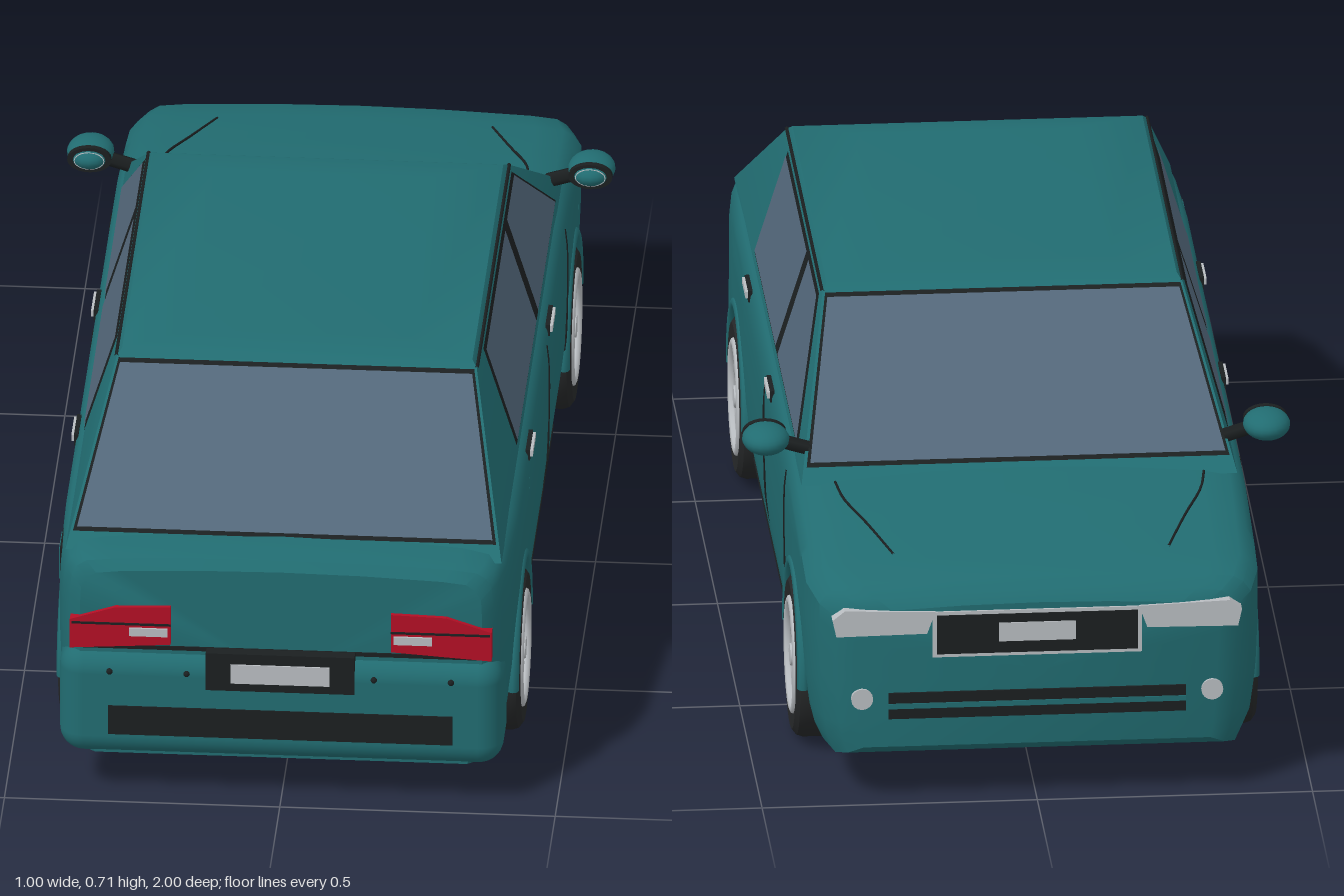
import * as THREE from 'three';
import { toCreasedNormals } from 'three/addons/utils/BufferGeometryUtils.js';
import { RoundedBoxGeometry } from 'three/addons/geometries/RoundedBoxGeometry.js';

const material = (name, color) => {
  const m = new THREE.MeshStandardMaterial({ color });
  m.name = name;
  return m;
};
const paint = material('teal paint', 0x216c71);
const glass = material('window glass', 0x53677a);
const black = material('black trim', 0x1b1f20);
const rubber = material('tyre rubber', 0x262829);
const red = material('tail lamp red', 0xb30f25);
const silver = material('silver', 0xb9bdc1);

const V = (x, y, z) => new THREE.Vector3(x, y, z);
const lerp = THREE.MathUtils.lerp;
const AXLES = [-0.63, 0.63], ARCH = 0.165, AXLE_Y = 0.15, SILL = 0.085;

// Piecewise linear lookup in [position, value] pairs
function along(table, p) {
  for (let i = 1; i < table.length; i++) {
    const [a, va] = table[i - 1], [b, vb] = table[i];
    if (p <= b) return lerp(va, vb, Math.max(0, (p - a) / (b - a)));
  }
  return table[table.length - 1][1];
}
const WIDTH = [[-0.995, 0.33], [-0.98, 0.365], [-0.95, 0.392], [-0.88, 0.41], [-0.6, 0.415],
  [0.7, 0.415], [0.88, 0.408], [0.93, 0.398], [0.955, 0.385], [0.97, 0.365]];
const TOP = [[-0.995, 0.375], [-0.98, 0.395], [-0.95, 0.41], [-0.85, 0.43], [-0.7, 0.455],
  [-0.55, 0.475], [-0.4, 0.482], [0.9, 0.482], [0.955, 0.472], [0.97, 0.455]];
const TUCK = [[0.08, 0.92], [0.12, 0.965], [0.2, 0.99], [0.3, 1], [0.4, 1], [0.46, 0.985]];
const sideX = (y, z) => along(WIDTH, z) * along(TUCK, y);

export function createModel() {
  const car = new THREE.Group();
  car.name = 'car';
  const add = (name, geometry, mat, x = 0, y = 0, z = 0, parent = car) => {
    const mesh = new THREE.Mesh(geometry, mat);
    mesh.name = name;
    mesh.position.set(x, y, z);
    parent.add(mesh);
    return mesh;
  };
  const box = (name, mat, w, h, d, x, y, z, parent) => add(name, new THREE.BoxGeometry(w, h, d), mat, x, y, z, parent);
  const line = (name, mat, points, r = 0.0025) => add(name,
    new THREE.TubeGeometry(new THREE.CatmullRomCurve3(points), 12, r, 5), mat);

  // Skin through rows of points; rows run towards +z
  function skin(rows, caps, keep = () => true) {
    const pos = rows.flat().flatMap(p => p.toArray()), index = [], n = rows[0].length;
    for (let i = 0; i < rows.length - 1; i++) {
      if (!keep((rows[i][0].z + rows[i + 1][0].z) / 2)) continue;
      for (let j = 0; j < n - 1; j++) {
        const a = i * n + j, d = a + n;
        index.push(a, a + 1, d, a + 1, d + 1, d);
      }
    }
    if (caps) [0, rows.length - 1].forEach((r, end) => {
      const c = pos.length / 3;
      pos.push(0, 0.25, rows[r][0].z);
      for (let j = 0; j < n; j++) {
        const a = r * n + j, b = r * n + (j + 1) % n;
        index.push(c, end ? a : b, end ? b : a);
      }
    });
    const g = new THREE.BufferGeometry();
    g.setAttribute('position', new THREE.Float32BufferAttribute(pos, 3));
    g.setIndex(index);
    return toCreasedNormals(g, 0.6);
  }

  // Body stations [z, lower edge], with the wheel arches cut into the lower edge
  const stations = [];
  const plain = (...zs) => zs.forEach(z => stations.push([z, SILL]));
  const arch = c => {
    stations.push([c - ARCH, SILL]);
    for (let k = 0; k <= 16; k++) {
      const a = Math.PI * (1 - k / 16);
      stations.push([c + ARCH * Math.cos(a), AXLE_Y + ARCH * Math.sin(a)]);
    }
    stations.push([c + ARCH, SILL]);
  };
  stations.push([-0.995, 0.11], [-0.98, 0.095]);
  plain(-0.95, -0.88);
  arch(AXLES[0]);
  plain(-0.4, -0.2, 0, 0.2, 0.4);
  arch(AXLES[1]);
  plain(0.88, 0.93, 0.955, 0.97);
  const rows = stations.map(([z, low]) => {
    const w = along(WIDTH, z), top = along(TOP, z), half = [];
    for (let k = 0; k <= 9; k++) {
      const y = lerp(low, top - 0.035, k / 9);
      half.push(V(sideX(y, z), y, z));
    }
    half.push(V(w * 0.965, top - 0.016, z), V(w * 0.92, top - 0.005, z),
      V(w * 0.8, top, z), V(w * 0.4, top + 0.006, z));
    return [...half, V(0, top + 0.008, z), ...half.map(p => V(-p.x, p.y, z)).reverse()];
  });
  add('body shell', skin(rows, true), paint);
  const under = rows.map(r => [r[r.length - 1], r[0]]);
  const isWell = z => Math.abs(z) > 0.44 && Math.abs(z) < 0.9;
  add('floor', skin(under, false, z => !isWell(z)), paint);
  add('wheel wells', skin(under, false, isWell), black);

  // Cabin from stacked rectangles: half width, height, front z, rear z
  const P = (s, z, t) => V(s * lerp(0.392, 0.327, t), lerp(0.48, 0.69, t), z);
  const frontZ = t => lerp(-0.58, -0.22, t), rearZ = t => lerp(0.89, 0.58, t);
  const levels = [[0.396, 0.465, -0.6, 0.91], [0.327, 0.69, -0.22, 0.58],
    [0.318, 0.7, -0.2, 0.565], [0.2, 0.707, -0.13, 0.5], [0, 0.709, 0.1, 0.2]];
  add('cabin and roof', skin(levels.map(([w, y, f, r]) =>
    [V(w, y, f), V(-w, y, f), V(-w, y, r), V(w, y, r), V(w, y, f)]), false), paint);

  // Flat panel lying just above the cabin, facing outwards
  function panel(name, mat, corners, lift) {
    const [a, b, c, d] = corners;
    const n = b.clone().sub(a).cross(c.clone().sub(a)).normalize();
    const mid = a.clone().add(c).multiplyScalar(0.5).sub(V(0, 0.5, 0.15));
    const flip = n.dot(mid) < 0;
    if (flip) n.negate();
    const quad = (flip ? [a, d, c, b] : [a, b, c, d]).map(p => p.clone().addScaledVector(n, lift));
    const g = new THREE.BufferGeometry().setFromPoints([0, 1, 2, 0, 2, 3].map(i => quad[i]));
    g.computeVertexNormals();
    add(name, g, mat);
  }
  const end = (edge, t0, t1, k) => [P(k, edge(t0), t0), P(-k, edge(t0), t0), P(-k, edge(t1), t1), P(k, edge(t1), t1)];
  for (const [name, edge] of [['windshield', frontZ], ['rear window', rearZ]]) {
    panel(name + ' seal', black, end(edge, 0.03, 0.99, 0.985), 0.003);
    panel(name, glass, end(edge, 0.05, 0.96, 0.97), 0.006);
  }
  for (const s of [-1, 1]) {
    const side = (z0, z1, z2, z3, t0, t1) => [P(s, z0, t0), P(s, z1, t0), P(s, z2, t1), P(s, z3, t1)];
    panel('side window frame', black, side(0.488, -0.475, -0.208, 0.488, 0.03, 0.96), 0.003);
    panel('rear door window', glass, side(0.48, 0.012, 0.012, 0.48, 0.06, 0.93), 0.006);
    panel('front door window', glass, side(-0.03, -0.455, -0.205, -0.03, 0.06, 0.93), 0.006);
    line('roof gutter', black, [P(s, -0.22, 1), P(s, 0.58, 1)], 0.004);

    // Seams, handles and hood creases
    const onSide = (y, z) => V(s * (sideX(y, z) + 0.0005), y, z);
    for (const z of [-0.455, 0]) line('door seam', black, [0.1, 0.2, 0.3, 0.4, 0.44].map(y => onSide(y, z)), 0.0018);
    line('sill seam', black, [-0.3, 0, 0.4].map(z => onSide(0.12, z)), 0.002);
    for (const z of [-0.08, 0.41]) {
      box('door handle recess', black, 0.008, 0.022, 0.08, s * 0.41, 0.448, z);
      box('door handle', silver, 0.012, 0.012, 0.074, s * 0.413, 0.45, z);
    }
    const onHood = (x, z) => V(s * x, along(TOP, z) + 0.003, z);
    line('hood crease', black, [onHood(0.25, -0.86), onHood(0.29, -0.75), onHood(0.325, -0.66), onHood(0.335, -0.6)]);
    const onScreen = (x, z) => V(s * x, 0.492 + (z + 0.56) * 0.585, z);
    line('wiper', black, [onScreen(0.17, -0.545), onScreen(0.05, -0.475)], 0.005);

    // Door mirror
    line('mirror arm', black, [V(s * 0.375, 0.505, -0.52), V(s * 0.44, 0.525, -0.52)], 0.014);
    const shell = add('mirror shell', new THREE.SphereGeometry(1, 20, 14), paint, s * 0.455, 0.53, -0.525);
    shell.scale.set(0.043, 0.027, 0.052);
    const disc = (name, mat, k, z) => add(name, new THREE.CylinderGeometry(1, 1, 1, 24).rotateX(Math.PI / 2),
      mat, s * 0.455, 0.53, z).scale.set(0.042 * k, 0.026 * k, 0.012);
    disc('mirror rim', black, 0.95, -0.494);
    disc('mirror glass', silver, 0.66, -0.49);

    // Lamps
    const lamp = (name, mat, pts, z, depth) => add(name, new THREE.ExtrudeGeometry(
      new THREE.Shape(pts.map(([x, y]) => new THREE.Vector2(s * x, y))), { depth, bevelEnabled: false }), mat, 0, 0, z);
    lamp('tail lamp', red, [[0.2, 0.388], [0.3, 0.385], [0.383, 0.358], [0.383, 0.3], [0.2, 0.312]], 0.925, 0.053);
    box('reverse lamp', silver, 0.07, 0.016, 0.006, s * 0.24, 0.337, 0.979);
    box('tail lamp divider', black, 0.18, 0.004, 0.004, s * 0.29, 0.352, 0.978);
    lamp('headlamp', silver, [[0.185, 0.372], [0.35, 0.378], [0.372, 0.36], [0.365, 0.328], [0.2, 0.33]], -1, 0.05);
    const fog = add('fog lamp', new THREE.CylinderGeometry(0.02, 0.02, 0.03, 16), silver, s * 0.318, 0.205, -0.985);
    fog.rotation.x = Math.PI / 2;
    for (const x of [0.17, 0.31]) add('parking sensor', new THREE.SphereGeometry(0.006, 8, 6), black, s * x, 0.26, 0.99);
  }
  box('fuel flap', black, 0.006, 0.07, 0.075, -0.408, 0.395, 0.8);
  box('fuel flap cover', paint, 0.008, 0.062, 0.067, -0.409, 0.395, 0.8);

  // Rear bumper and plate
  add('rear bumper', new RoundedBoxGeometry(0.806, 0.215, 0.15, 4, 0.045), paint, 0, 0.19, 0.915);
  box('bumper gap', black, 0.72, 0.008, 0.01, 0, 0.302, 0.967);
  box('rear intake', black, 0.625, 0.058, 0.02, 0, 0.162, 0.982);
  box('rear plate frame', black, 0.27, 0.075, 0.024, 0, 0.268, 0.982);
  box('rear plate', silver, 0.18, 0.038, 0.006, 0, 0.266, 0.994);

  // Front grille and intake
  box('grille surround', silver, 0.38, 0.088, 0.01, 0, 0.327, -0.994);
  box('grille', black, 0.365, 0.075, 0.012, 0, 0.327, -0.995);
  box('front plate', silver, 0.14, 0.036, 0.006, 0, 0.33, -1);
  box('front intake', black, 0.54, 0.05, 0.01, 0, 0.19, -0.994);
  box('intake bar', paint, 0.54, 0.01, 0.012, 0, 0.19, -0.995);

  // Wheels and arch flares
  const tyre = [[0.1, -0.046], [0.135, -0.05], [0.146, -0.042], [0.15, -0.03], [0.15, 0.03],
    [0.146, 0.042], [0.135, 0.05], [0.1, 0.046], [0.1, -0.046]].map(p => new THREE.Vector2(...p));
  for (const s of [-1, 1]) for (const z of AXLES) {
    const flare = add('arch flare', new THREE.TorusGeometry(ARCH + 0.006, 0.011, 8, 28, Math.PI),
      paint, s * 0.409, AXLE_Y, z);
    flare.rotation.y = Math.PI / 2;
    const wheel = new THREE.Group();
    wheel.name = 'wheel';
    wheel.position.set(s * 0.37, AXLE_Y, z);
    wheel.rotation.y = s > 0 ? 0 : Math.PI;
    car.add(wheel);
    add('tyre', toCreasedNormals(new THREE.LatheGeometry(tyre, 40).rotateZ(-Math.PI / 2), 0.5), rubber, 0, 0, 0, wheel);
    add('brake backing', new THREE.CylinderGeometry(0.101, 0.101, 0.06, 32).rotateZ(Math.PI / 2), black, -0.01, 0, 0, wheel);
    add('rim', new THREE.TorusGeometry(0.1, 0.009, 8, 40).rotateY(Math.PI / 2), silver, 0.044, 0, 0, wheel);
    add('hub', new THREE.CylinderGeometry(0.02, 0.026, 0.03, 20).rotateZ(-Math.PI / 2), silver, 0.035, 0, 0, wheel);
    for (let k = 0; k < 5; k++) {
      const spoke = new THREE.CylinderGeometry(0.015, 0.011, 0.09, 4, 1).rotateY(Math.PI / 4);
      spoke.scale(0.8, 1, 1.5).translate(0, 0.055, 0);
      add('spoke', spoke.toNonIndexed(), silver, 0.034, 0, 0, wheel).rotation.x = k * Math.PI * 0.4;
    }
  }
  return car;
}
